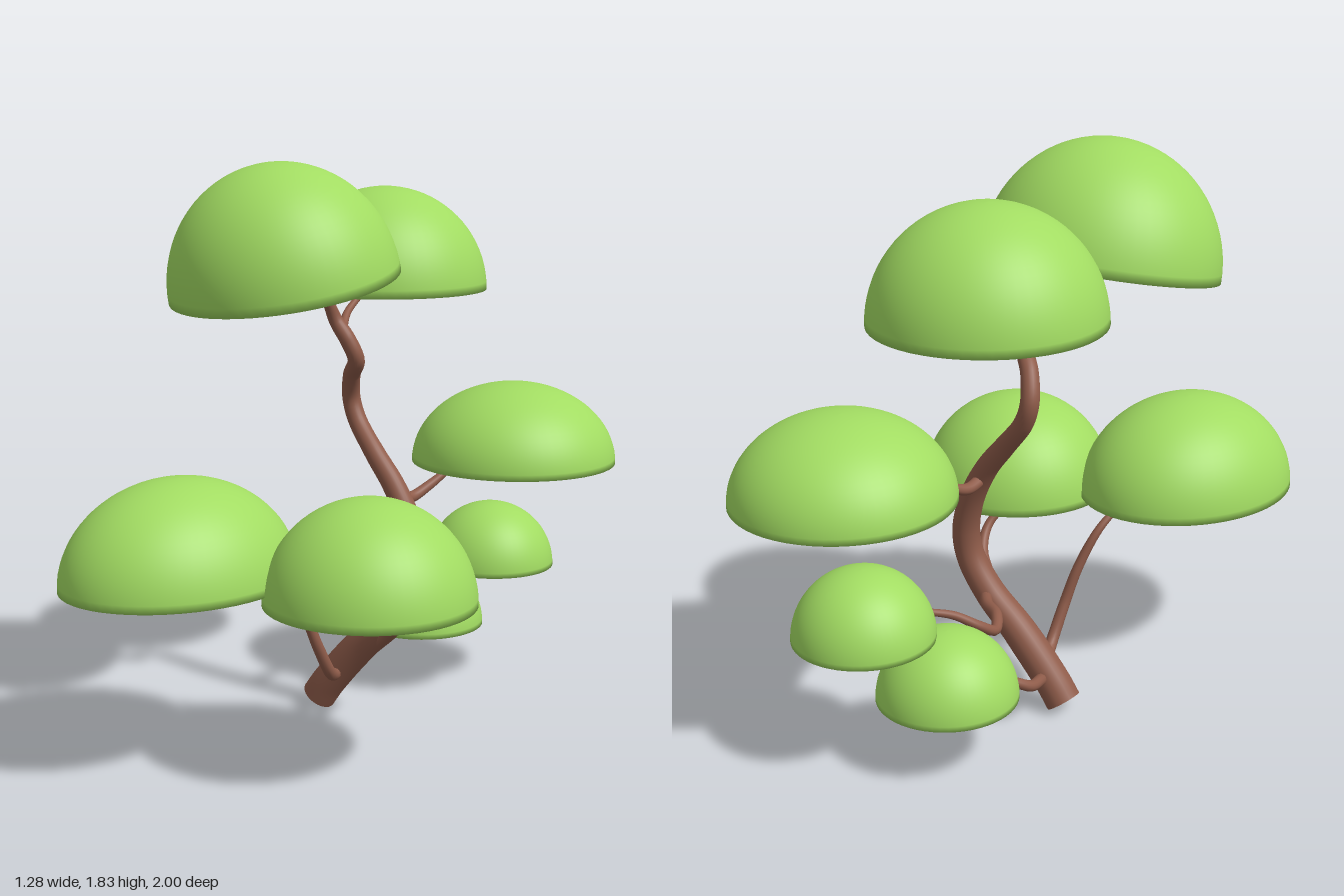
import * as THREE from 'three';
import { mergeGeometries } from 'three/addons/utils/BufferGeometryUtils.js';

const bark = new THREE.MeshStandardMaterial({ color: 0x8f5c4a });
const leaf = new THREE.MeshStandardMaterial({ color: 0xa2dc62 });

// Tube along a smooth path whose radius follows a list of values, closed at both ends
function taperedLimb(name, path, radii, rings, sides) {
  const curve = new THREE.CatmullRomCurve3(path.map(p => new THREE.Vector3(...p)));
  const tube = new THREE.TubeGeometry(curve, rings, 1, sides);
  const radiusAt = t => {
    const f = t * (radii.length - 1);
    const i = Math.min(Math.floor(f), radii.length - 2);
    return THREE.MathUtils.lerp(radii[i], radii[i + 1], f - i);
  };
  const pos = tube.attributes.position;
  const v = new THREE.Vector3();
  for (let i = 0; i <= rings; i++) {
    const c = curve.getPointAt(i / rings);
    for (let j = 0; j <= sides; j++) {
      const k = i * (sides + 1) + j;
      v.fromBufferAttribute(pos, k).sub(c).multiplyScalar(radiusAt(i / rings)).add(c);
      pos.setXYZ(k, v.x, v.y, v.z);
    }
  }
  const caps = [0, 1].map(t => {
    const normal = curve.getTangentAt(t).multiplyScalar(t ? 1 : -1);
    const turn = new THREE.Quaternion().setFromUnitVectors(new THREE.Vector3(0, 0, 1), normal);
    const at = curve.getPointAt(t);
    return new THREE.CircleGeometry(radiusAt(t), sides).applyQuaternion(turn).translate(at.x, at.y, at.z);
  });
  const mesh = new THREE.Mesh(mergeGeometries([tube, ...caps]), bark);
  mesh.name = name;
  return mesh;
}

// Unit half-dome with a flat underside and softened rim
function domeGeometry() {
  const profile = [new THREE.Vector2(0, 0), new THREE.Vector2(0.97, 0)];
  for (let i = 0; i <= 20; i++) {
    const a = (i / 20) * Math.PI / 2;
    profile.push(new THREE.Vector2(i === 20 ? 0 : Math.cos(a), Math.sin(a)));
  }
  profile[1].set(1, 0);
  profile.splice(2, 1);
  return new THREE.LatheGeometry(profile, 56);
}

export function createModel() {
  const tree = new THREE.Group();
  tree.name = 'tree';

  // Winding trunk
  tree.add(taperedLimb('trunk', [
    [-0.255, 0.032, -0.045], [-0.215, 0.09, -0.055], [-0.09, 0.24, -0.09], [0.025, 0.345, -0.115],
    [0.095, 0.455, -0.135], [0.105, 0.55, -0.145], [0.075, 0.67, -0.145], [0.01, 0.79, -0.137],
    [-0.07, 0.885, -0.13], [-0.165, 0.99, -0.137], [-0.187, 1.06, -0.133], [-0.155, 1.14, -0.105],
    [-0.097, 1.2, -0.07], [-0.11, 1.265, -0.045], [-0.15, 1.325, -0.03], [-0.158, 1.39, 0], [-0.17, 1.47, 0.07],
  ], [0.058, 0.057, 0.05, 0.045, 0.038, 0.032, 0.029, 0.026, 0.01], 110, 24));

  // Branches, each from the trunk to the underside of a crown
  const branches = {
    frontBranch: [[-0.17, 0.13, -0.05], [-0.115, 0.16, 0.03], [-0.1, 0.27, 0.1], [-0.115, 0.4, 0.15],
      [-0.14, 0.52, 0.215], [-0.15, 0.595, 0.31]],
    leftBranch: [[0, 0.27, -0.09], [0.09, 0.335, -0.05], [0.18, 0.41, -0.01], [0.215, 0.48, 0.05], [0.185, 0.56, 0.14]],
    rearBranch: [[0.04, 0.34, -0.12], [-0.05, 0.35, -0.19], [-0.14, 0.36, -0.23], [-0.2, 0.35, -0.29],
      [-0.2, 0.385, -0.35], [-0.16, 0.43, -0.42], [-0.12, 0.455, -0.5]],
    lowRearBranch: [[-0.18, 0.1, -0.06], [-0.23, 0.125, -0.13], [-0.255, 0.14, -0.19], [-0.24, 0.17, -0.25],
      [-0.21, 0.185, -0.31], [-0.2, 0.215, -0.38]],
    highRearBranch: [[0.03, 0.755, -0.13], [0.01, 0.74, -0.22], [0.015, 0.77, -0.3], [0.03, 0.82, -0.39]],
    topRearBranch: [[-0.12, 1.28, -0.045], [-0.19, 1.285, -0.1], [-0.245, 1.33, -0.17], [-0.27, 1.375, -0.25],
      [-0.275, 1.4, -0.3]],
  };
  for (const [name, path] of Object.entries(branches)) {
    const r = name === 'topRearBranch' ? 0.016 : 0.021;
    tree.add(taperedLimb(name, path, [r, r * 0.9, r * 0.75, r * 0.5], 40, 14));
  }

  // Leaf crowns: name, centre of the underside, half sizes, forward tilt
  const dome = domeGeometry();
  [
    ['topCrown', [-0.2, 1.447, 0.143], [0.377, 0.385, 0.363], 0.2],
    ['topRearCrown', [-0.295, 1.39, -0.392], [0.345, 0.345, 0.348], 0],
    ['highRearCrown', [0.07, 0.81, -0.652], [0.346, 0.27, 0.347], 0],
    ['frontCrown', [-0.163, 0.583, 0.607], [0.325, 0.32, 0.39], 0],
    ['leftCrown', [0.314, 0.545, 0.265], [0.325, 0.32, 0.324], 0],
    ['rearCrown', [-0.062, 0.415, -0.69], [0.22, 0.22, 0.22], 0],
    ['lowRearCrown', [-0.216, 0.205, -0.496], [0.22, 0.22, 0.22], 0],
  ].forEach(([name, at, size, tilt]) => {
    const crown = new THREE.Mesh(dome, leaf);
    crown.name = name;
    crown.position.set(...at);
    crown.scale.set(...size);
    crown.rotation.x = tilt;
    tree.add(crown);
  });

  return tree;
}
